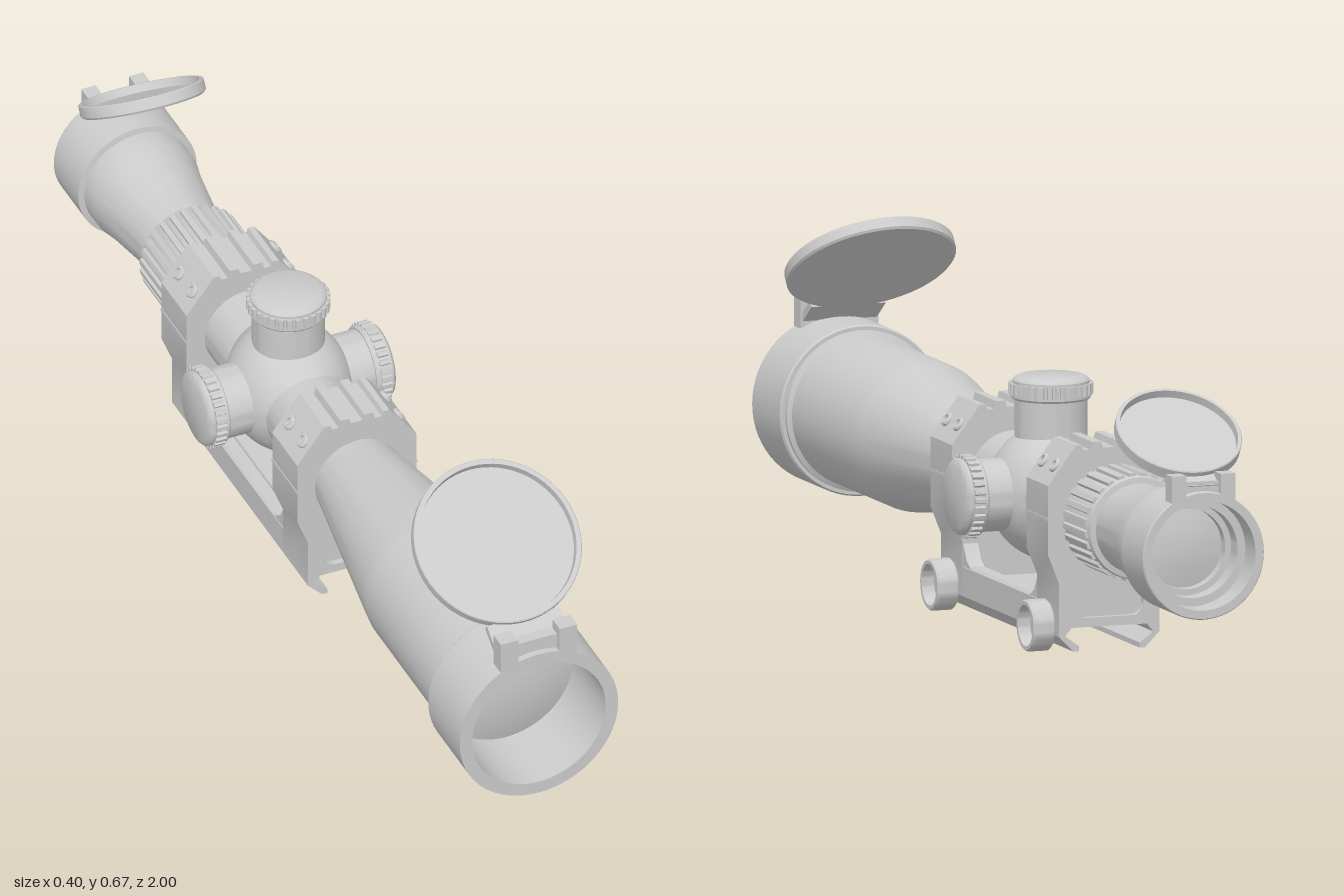
import * as THREE from 'three';
import { toCreasedNormals } from 'three/addons/utils/BufferGeometryUtils.js';

const AXIS = 0.265; // height of the optical axis
const mat = new THREE.MeshStandardMaterial({ color: 0xcccccc });

function add(parent, name, geo, x = 0, y = 0, z = 0) {
  const mesh = new THREE.Mesh(toCreasedNormals(geo, 0.5), mat);
  mesh.name = name;
  mesh.position.set(x, y, z);
  parent.add(mesh);
  return mesh;
}

function group(parent, name, x = 0, y = 0, z = 0) {
  const g = new THREE.Group();
  g.name = name;
  g.position.set(x, y, z);
  parent.add(g);
  return g;
}

const box = (w, h, d) => new THREE.BoxGeometry(w, h, d);
const V = pts => pts.map(p => new THREE.Vector2(...p));
// Turned part from [radius, height] pairs, about y or about z
const turnY = (pts, n = 48) => new THREE.LatheGeometry(V(pts), n);
const turnZ = (pts, n = 64) => turnY(pts, n).rotateX(Math.PI / 2);
const extrude = (shape, depth) =>
  new THREE.ExtrudeGeometry(shape, { depth, bevelEnabled: false, curveSegments: 24 });
// Closed outline from its right half, listed bottom to top
const mirrored = half =>
  new THREE.Shape(V([...half, ...half.slice().reverse().map(([x, y]) => [-x, y])]));

// Ribbed ring, extruded along z
function knurl(r, depth, ribs, length) {
  const pts = [];
  for (let i = 0; i < ribs; i++) {
    [[0, r - depth], [0.3, r - depth], [0.42, r], [0.88, r]].forEach(([t, q]) => {
      const a = (i + t) / ribs * Math.PI * 2;
      pts.push([q * Math.cos(a), q * Math.sin(a)]);
    });
  }
  return extrude(new THREE.Shape(V(pts)), length);
}

function roundedHole(w, y0, y1, r) {
  const p = new THREE.Path();
  p.moveTo(-w + r, y0);
  p.lineTo(w - r, y0);
  p.absarc(w - r, y0 + r, r, -Math.PI / 2, 0);
  p.lineTo(w, y1 - r);
  p.absarc(w - r, y1 - r, r, 0, Math.PI / 2);
  p.lineTo(-w + r, y1);
  p.absarc(-w + r, y1 - r, r, Math.PI / 2, Math.PI);
  p.lineTo(-w, y0 + r);
  p.absarc(-w + r, y0 + r, r, Math.PI, Math.PI * 1.5);
  return p;
}

// Adjustment knob standing along +y, knob starting at height h
function turret(parent, name, h) {
  const g = group(parent, name, 0, AXIS, -0.175);
  add(g, 'turretNeck', turnY([[0.07, 0.07], [0.07, h + 0.002]]));
  add(g, 'turretCollar', turnY([[0, h - 0.002], [0.074, h - 0.002], [0.077, h + 0.002], [0.077, h + 0.008], [0, h + 0.008]]));
  add(g, 'turretKnurl', knurl(0.081, 0.005, 30, 0.022).rotateX(-Math.PI / 2), 0, h + 0.007, 0);
  add(g, 'turretCap', turnY([[0.074, h + 0.027], [0.074, h + 0.034], [0.07, h + 0.039], [0.063, h + 0.042], [0, h + 0.043]]));
  return g;
}

// Flip-up cover with its hinge, for the end facing +z
function flipCover(parent, name, { r, cy, cz, tilt, hingeY, top, arm, w }) {
  const g = group(parent, name);
  const lid = group(g, 'lid', 0, cy, cz);
  lid.rotation.x = -tilt;
  add(lid, 'lidDish', turnZ([[0, -0.013], [r - 0.004, -0.013], [r, -0.009], [r, 0.011],
    [r - 0.002, 0.013], [r * 0.935, 0.013], [r * 0.925, -0.003], [0, -0.003]]));
  add(lid, 'lidTongue', box(w * 1.9, arm - r * 0.93, 0.014), 0, -(arm + r * 0.93) / 2, -0.005);
  for (const s of [-1, 1]) {
    add(g, 'hingeLug', box(w * 0.46, top - hingeY, 0.034), s * w * 0.77, (top + hingeY) / 2, 0.983);
  }
  add(g, 'hingeBridge', box(w * 1.1, (top - hingeY) * 0.65, 0.024), 0, hingeY + (top - hingeY) * 0.4, 0.975);
  return g;
}

// Clamping ring with its leg, rail claws and screws
function mountRing(parent, z) {
  const g = group(parent, 'mountRing', 0, 0, z);
  const d = 0.117;
  const shape = mirrored([[0.077, 0.052], [0.09, 0.036], [0.062, 0.016], [0.062, 0.006], [0.073, 0.006],
    [0.103, 0.036], [0.103, 0.14], [0.125, 0.195], [0.125, 0.33], [0.068, 0.405],
    [0.056, 0.405], [0.052, 0.395], [0.038, 0.395], [0.034, 0.41], [0.016, 0.41], [0.012, 0.398]]);
  const bore = new THREE.Path();
  bore.absarc(0, AXIS, 0.086, 0, Math.PI * 2);
  shape.holes.push(bore, roundedHole(0.07, 0.07, 0.145, 0.024));
  add(g, 'ringBody', extrude(shape, d), 0, 0, -d / 2);
  add(g, 'legWeb', box(0.142, 0.078, d - 0.024), 0, 0.108, 0);
  for (const s of [-1, 1]) {
    // Seam flange between the upper and lower halves
    add(g, 'ringSeam', box(0.006, 0.006, d + 0.001), s * 0.1235, AXIS, 0);
    for (const k of [-1, 1]) {
      const screw = add(g, 'ringScrew', turnY([[0.015, -0.01], [0.015, 0.004], [0.012, 0.007],
        [0.008, 0.007], [0.007, 0.001], [0, 0.001]], 20), s * 0.099, 0.364, k * 0.031);
      screw.rotation.z = -s * 0.92;
    }
  }
  // Clamp nut on one side
  const nut = add(g, 'clampNut', turnY([[0, 0], [0.046, 0], [0.05, 0.004], [0.05, 0.041], [0.047, 0.045],
    [0.04, 0.045], [0.038, 0.02], [0, 0.02]], 40), 0.105, 0.052, 0);
  nut.rotation.z = -Math.PI / 2;
  add(g, 'clampBolt', turnY([[0.02, 0], [0.02, 0.03], [0, 0.03]], 24).rotateZ(-Math.PI / 2), 0.095, 0.052, 0);
}

export function createModel() {
  const model = new THREE.Group();
  model.name = 'rifleScope';

  // Main body, turned in one piece from eyepiece recess to objective recess
  add(model, 'scopeBody', turnZ([
    [0.078, -0.88], [0.078, -0.91], [0.09, -0.91], [0.09, -0.945], [0.106, -0.945], [0.106, -1],
    [0.122, -1], [0.124, -0.997], [0.124, -0.882], [0.112, -0.88], [0.111, -0.84], [0.104, -0.81],
    [0.094, -0.74], [0.087, -0.69], [0.087, 0.14], [0.091, 0.17], [0.143, 0.49], [0.147, 0.52],
    [0.147, 0.835], [0.156, 0.84], [0.156, 0.848], [0.163, 0.848], [0.166, 0.852], [0.166, 1], [0.14, 1], [0.14, 0.84],
  ]), 0, AXIS, 0);
  add(model, 'objectiveLens', turnZ([[0.141, 0.845], [0.11, 0.855], [0.07, 0.863], [0.035, 0.867], [0, 0.868]]), 0, AXIS, 0);
  add(model, 'eyepieceLens', turnZ([[0, -0.9], [0.04, -0.897], [0.08, -0.889]]), 0, AXIS, 0);

  // Magnification ring
  add(model, 'zoomRingCore', turnZ([[0.085, -0.648], [0.098, -0.646], [0.1, -0.642], [0.1, -0.512], [0.085, -0.508]]), 0, AXIS, 0);
  add(model, 'zoomRingRibs', knurl(0.106, 0.008, 28, 0.118), 0, AXIS, -0.636);

  // Rounded turret housing
  const saddle = [[0.084, -0.112]];
  for (let i = 0; i <= 16; i++) {
    const t = -0.104 + 0.013 * i;
    saddle.push([Math.sqrt(0.132 ** 2 - t * t) + (Math.abs(t) > 0.1 ? 0.006 : 0), t]);
  }
  saddle.push([0.084, 0.112]);
  add(model, 'turretHousing', turnZ(saddle).scale(0.92, 1, 1), 0, AXIS, -0.175);
  turret(model, 'elevationTurret', 0.183);
  turret(model, 'windageTurret', 0.155).rotation.z = -Math.PI / 2;
  turret(model, 'focusTurret', 0.155).rotation.z = Math.PI / 2;

  // Mount: two rings joined by a channelled rail base
  mountRing(model, 0.088);
  mountRing(model, -0.431);
  const base = mirrored([[0.077, 0.052], [0.09, 0.036], [0.062, 0.016], [0.062, 0.006], [0.073, 0.006],
    [0.103, 0.036], [0.103, 0.093], [0.098, 0.098], [0.074, 0.098], [0.07, 0.092], [0.066, 0.078], [0.055, 0.07]]);
  add(model, 'mountBase', extrude(base, 0.403), 0, 0, -0.373);
  // Gussets where the base walls rise into the legs
  for (const s of [-1, 1]) for (const [z, k] of [[0.031, -1], [-0.374, 1]]) {
    const gusset = new THREE.Shape(V([[0, 0.09], [0.05, 0.09], [0.02, 0.108], [0, 0.14]]));
    const geo = extrude(gusset, 0.03).translate(0, 0, -0.015).rotateY(-k * Math.PI / 2);
    add(model, 'baseGusset', geo, s * 0.087, 0, z);
  }

  // Flip-up covers at both ends
  flipCover(model, 'objectiveCover', { r: 0.166, cy: 0.56, cz: 0.8, tilt: 0.94, hingeY: 0.405, top: 0.478, arm: 0.213, w: 0.08 });
  flipCover(model, 'eyepieceCover', { r: 0.123, cy: 0.478, cz: 0.86, tilt: 1.01, hingeY: 0.368, top: 0.422, arm: 0.15, w: 0.065 })
    .rotation.y = Math.PI;

  return model;
}
